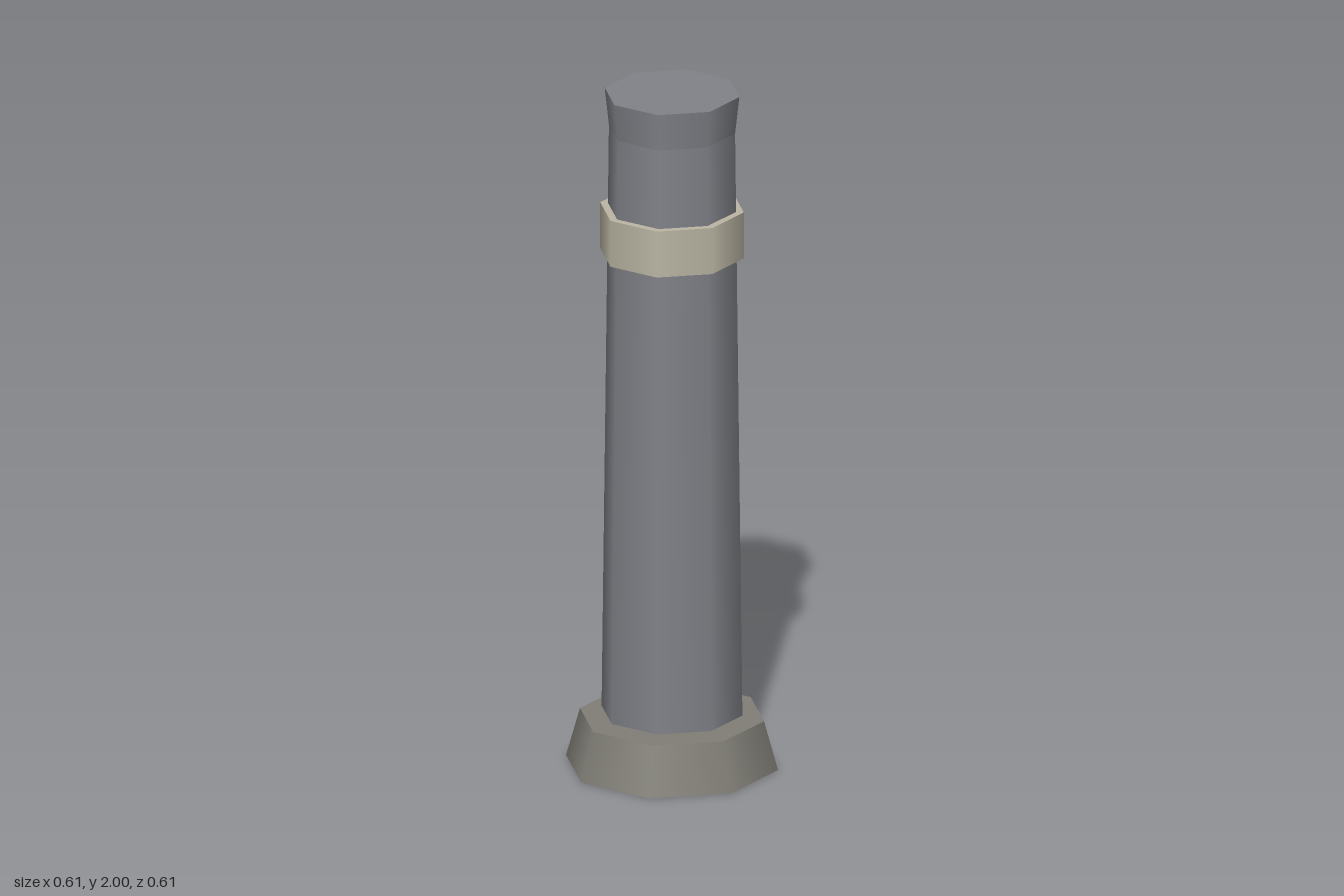
import * as THREE from 'three';

const SIDES = 8;

// Eight-sided tapered drum with corners on the axes, spanning y0 to y1
function drum(name, rBottom, rTop, y0, y1, material) {
  const geometry = new THREE.CylinderGeometry(rTop, rBottom, y1 - y0, SIDES);
  const mesh = new THREE.Mesh(geometry, material);
  mesh.name = name;
  mesh.position.y = (y0 + y1) / 2;
  return mesh;
}

export function createModel() {
  const stone = new THREE.MeshStandardMaterial({ color: 0x808288 });
  const plinth = new THREE.MeshStandardMaterial({ color: 0x807e76 });
  const trim = new THREE.MeshStandardMaterial({ color: 0xbab5a3 });

  const column = new THREE.Group();
  column.name = 'column';
  column.add(
    // Sloped foot, with a thin gap below the shaft
    drum('base', 0.304, 0.264, 0, 0.143, plinth),
    // Tapering shaft and its flared top
    drum('shaft', 0.202, 0.181, 0.155, 1.89, stone),
    drum('flaredTop', 0.181, 0.193, 1.89, 2, stone),
    // Pale band around the upper shaft
    drum('band', 0.206, 0.206, 1.52, 1.657, trim),
  );
  return column;
}
